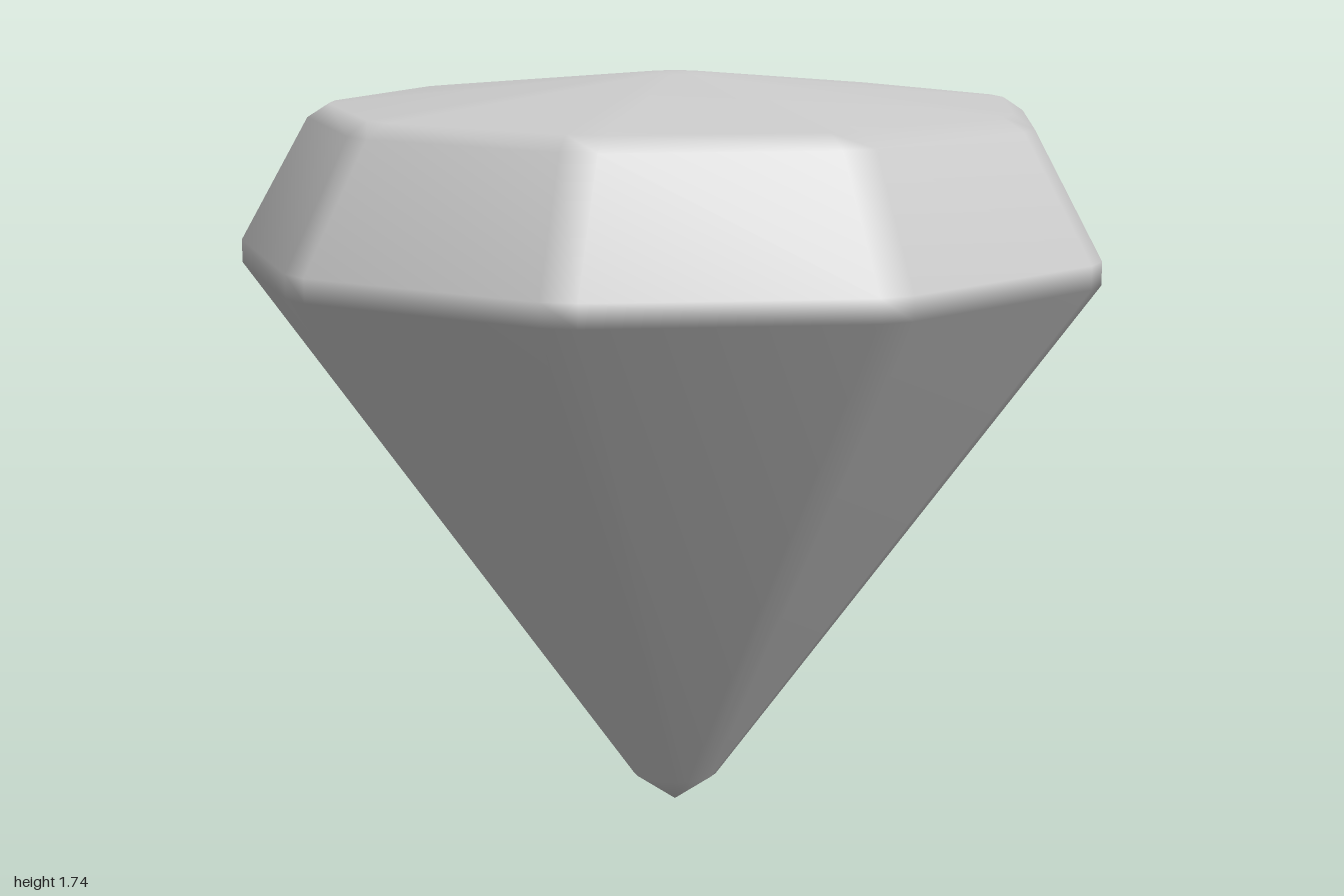
import * as THREE from 'three';

const SIDES = 9;
const CENTRE_Z = 0.02;
const TIP_Y = 0;
const APEX_Y = 1.74;

// Rings from bottom to top: [corner radius, height]
const RINGS = [
  [0.105, 0.07],  // above the tip
  [1.02, 1.295],  // girdle, lower edge
  [1.02, 1.348],  // girdle, upper edge
  [0.86, 1.632],  // crown, upper edge
  [0.81, 1.664],  // table rim
  [0.08, 1.735],  // softened table centre
];

// One nonagon ring with each corner cut into two points
function ringPoints(radius, y) {
  const points = [];
  const corner = (k) => {
    const t = (k / SIDES) * Math.PI * 2;
    return new THREE.Vector3(Math.sin(t) * radius, y, CENTRE_Z - Math.cos(t) * radius);
  };
  const edge = 2 * radius * Math.sin(Math.PI / SIDES);
  const cut = Math.min(0.043, radius * 0.16) / edge;
  for (let k = 0; k < SIDES; k++) {
    points.push(corner(k).lerp(corner(k - 1), cut), corner(k).lerp(corner(k + 1), cut));
  }
  return points;
}

function gemGeometry() {
  const count = SIDES * 2;
  const points = RINGS.flatMap(([r, y]) => ringPoints(r, y));
  const tip = points.push(new THREE.Vector3(0, TIP_Y, CENTRE_Z)) - 1;
  const apex = points.push(new THREE.Vector3(0, APEX_Y, CENTRE_Z)) - 1;
  const index = [];
  const last = (RINGS.length - 1) * count;

  for (let j = 0; j < count; j++) {
    const n = (j + 1) % count;
    index.push(tip, j, n);
    for (let a = 0; a < last; a += count) {
      const b = a + count;
      index.push(a + j, b + j, b + n, a + j, b + n, a + n);
    }
    index.push(last + j, apex, last + n);
  }

  const geometry = new THREE.BufferGeometry().setFromPoints(points);
  geometry.setIndex(index);
  // Area-weighted normals keep the big facets flat and blend over the bevels
  geometry.computeVertexNormals();
  return geometry;
}

export function createModel() {
  const model = new THREE.Group();
  model.name = 'gem';
  const material = new THREE.MeshStandardMaterial({ color: 0xcccccc });
  const stone = new THREE.Mesh(gemGeometry(), material);
  stone.name = 'cutStone';
  model.add(stone);
  return model;
}
